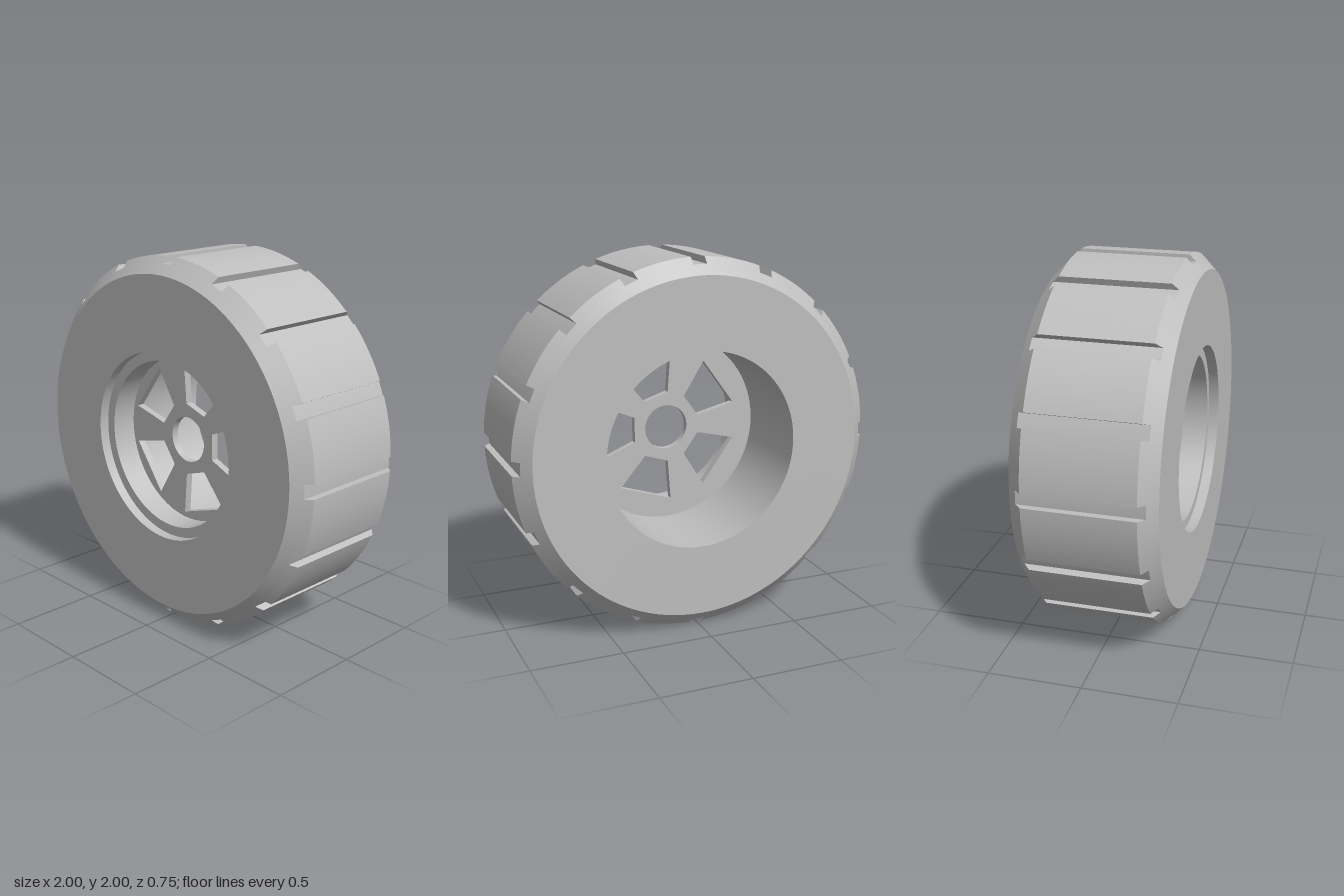
import * as THREE from 'three';
import { mergeGeometries, toCreasedNormals } from 'three/addons/utils/BufferGeometryUtils.js';

const rubberGrey = new THREE.MeshStandardMaterial({ color: 0xbebebe });
rubberGrey.name = 'plainGrey';

const GROOVES = 16;
const toVectors = (points) => points.map(([r, z]) => new THREE.Vector2(r, z));

// Revolved profile around the wheel axis, with sharp profile corners
function revolve(points, segments, start = 0, length = Math.PI * 2) {
  return toCreasedNormals(new THREE.LatheGeometry(toVectors(points), segments, start, length), 0.5);
}

// One raised tread block between two grooves, with capped ends
function treadBlock() {
  const profile = [[0.965, -0.325], [1, -0.29], [1, 0.29], [0.965, 0.325]];
  const pitch = (Math.PI * 2) / GROOVES;
  const gap = 0.0375 / 0.98;
  const start = gap, end = pitch - gap;
  const cap = (sign, angle) => new THREE.ShapeGeometry(
    new THREE.Shape(toVectors(profile.map(([r, z]) => [sign * r, z])))
  ).rotateY(angle).toNonIndexed();
  return mergeGeometries([
    revolve(profile, 10, start, end - start),
    cap(1, start - Math.PI / 2),
    cap(-1, end + Math.PI / 2),
  ]).rotateX(Math.PI / 2);
}

// Hub disc with a round centre hole and five tapered windows
function hubDisc() {
  const shape = new THREE.Shape().absarc(0, 0, 0.53, 0, Math.PI * 2, false);
  shape.holes.push(new THREE.Path().absarc(0, 0, 0.125, 0, Math.PI * 2, true));
  const corners = [[0.187, 0.072], [0.396, 0.158], [0.396, -0.158], [0.187, -0.072]];
  for (let i = 0; i < 5; i++) {
    const turn = (i * Math.PI * 2) / 5;
    shape.holes.push(new THREE.Path(
      toVectors(corners).map((p) => p.rotateAround(new THREE.Vector2(), turn))
    ));
  }
  const geometry = new THREE.ExtrudeGeometry(shape, { depth: 0.04, bevelEnabled: false, curveSegments: 64 });
  return toCreasedNormals(geometry.translate(0, 0, 0.14), 0.5);
}

export function createModel() {
  const wheel = new THREE.Group();
  wheel.name = 'wheel';
  const add = (name, geometry) => {
    const mesh = new THREE.Mesh(geometry, rubberGrey);
    mesh.name = name;
    wheel.add(mesh);
    return mesh;
  };

  // Tyre body: deep rear bore, flat sidewalls, groove floor, stepped front recess
  add('tyreBody', revolve([
    [0.53, 0.14], [0.53, -0.375], [0.915, -0.375], [0.965, -0.325],
    [0.965, 0.325], [0.915, 0.375], [0.51, 0.375], [0.51, 0.32],
    [0.455, 0.32], [0.455, 0.18],
  ], 128).rotateX(Math.PI / 2));

  // Tread blocks
  const block = treadBlock();
  for (let i = 0; i < GROOVES; i++) {
    add('treadBlock' + (i + 1), block).rotation.z = (i * Math.PI * 2) / GROOVES;
  }

  add('hubDisc', hubDisc());

  wheel.position.y = 1;
  const model = new THREE.Group();
  model.name = 'wheelModel';
  model.add(wheel);
  return model;
}
